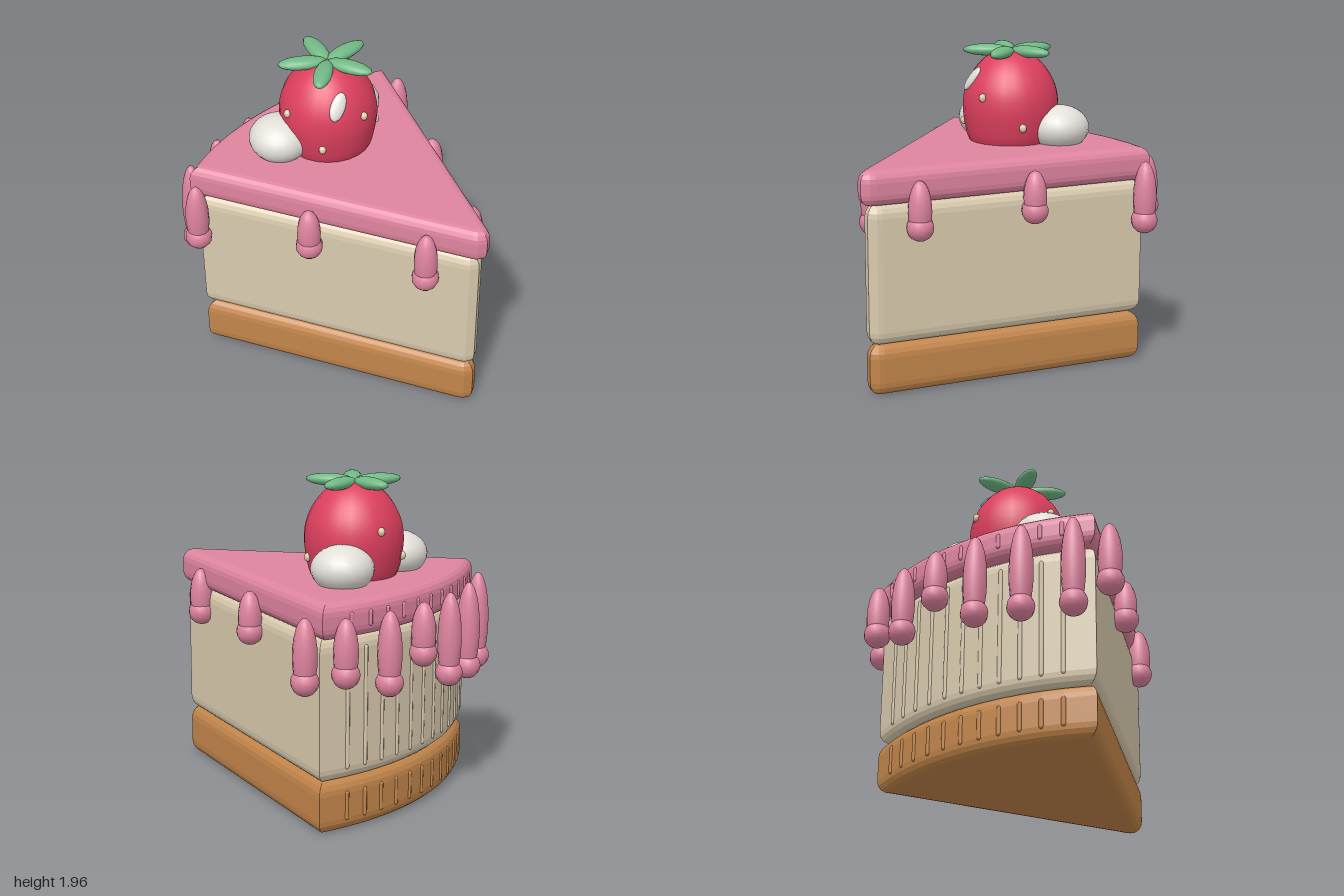
import * as THREE from 'three';

const mat = (name, color) => {
  const m = new THREE.MeshStandardMaterial({ color });
  m.name = name;
  return m;
};

export function createModel() {
  const root = new THREE.Group();
  root.name = 'cakeSlice';
  const pink = mat('pinkFrosting', 0xdf849f);
  const sponge = mat('creamSponge', 0xd9caae);
  const crust = mat('brownCrust', 0xc2854a);
  const red = mat('berryRed', 0xdd3f5e);
  const green = mat('leafGreen', 0x72b986);
  const white = mat('whippedWhite', 0xe3dfd9);
  const seedColor = mat('seedCream', 0xe0cda8);

  const add = (name, geo, material, parent = root) => {
    const m = new THREE.Mesh(geo, material);
    m.name = name;
    parent.add(m);
    return m;
  };
  const ellipsoid = (rx, ry, rz, ws = 20, hs = 14) =>
    new THREE.SphereGeometry(1, ws, hs).scale(rx, ry, rz);

  // Bevelled wedge with a slightly blunt tip, a curved back and thin upright ribs
  const bevel = 0.06, segments = 12;
  function wedge(name, y0, y1, apex, radius, half, thick, material) {
    const g = new THREE.Group();
    g.name = name;
    root.add(g);
    const s = Math.sin(half) * 0.04, c = Math.cos(half) * 0.04;
    const shape = new THREE.Shape();
    shape.moveTo(s, -apex + c);
    for (let i = 0; i <= segments; i++) {
      const a = half - (2 * half * i) / segments;
      shape.lineTo(Math.sin(a) * radius, -apex + Math.cos(a) * radius);
    }
    shape.lineTo(-s, -apex + c);
    shape.quadraticCurveTo(0, -apex, s, -apex + c);
    const geo = new THREE.ExtrudeGeometry(shape, {
      depth: y1 - y0 - 2 * thick, bevelEnabled: true, bevelThickness: thick,
      bevelSize: bevel, bevelSegments: 4, curveSegments: 4,
    });
    geo.rotateX(-Math.PI / 2).translate(0, y0 + thick, 0);
    add(name + 'Body', geo, material, g);

    const length = y1 - y0 - 2 * thick;
    for (let i = 1; i < segments; i++) {
      const a = half - (2 * half * i) / segments, r = radius + bevel - 0.004;
      const rib = add(name + 'Rib', new THREE.CapsuleGeometry(0.014, length, 3, 8), material, g);
      rib.position.set(Math.sin(a) * r, (y0 + y1) / 2, apex - Math.cos(a) * r);
    }
  }
  wedge('crust', 0, 0.31, 0.9, 1.67, 0.445, 0.08, crust);
  wedge('sponge', 0.31, 1.16, 0.9, 1.67, 0.445, 0.08, sponge);
  wedge('frosting', 1.155, 1.365, 0.95, 1.76, 0.437, 0.07, pink);

  // Frosting drips: x, z, lowest point
  const drips = [
    [-0.2, 0.71, 0.905], [0.19, 0.71, 0.935],
    [-0.53, 0.065, 0.955], [0.52, 0.065, 0.97],
    [-0.86, -0.58, 0.845], [0.86, -0.58, 0.845],
    [-0.74, -0.77, 0.675], [-0.45, -0.87, 0.69], [-0.15, -0.915, 0.72],
    [0.15, -0.915, 0.91], [0.44, -0.87, 0.79], [0.735, -0.77, 0.89],
  ];
  for (const [x, z, low] of drips) {
    const g = new THREE.Group();
    g.name = 'drip';
    root.add(g);
    const top = 1.295, mid = (top + low) / 2;
    add('dripBody', ellipsoid(0.072, top - mid, 0.072, 12, 12), pink, g).position.set(x, mid, z);
    add('dripBall', ellipsoid(0.082, 0.082, 0.082, 12, 10), pink, g).position.set(x, low + 0.082, z);
  }

  // Whipped cream dollops
  for (const side of [-1, 1])
    add('creamDollop', ellipsoid(0.185, 0.14, 0.19), white).position.set(side * 0.295, 1.455, -0.445);

  // Strawberry with seeds, highlight and leaves
  const berry = new THREE.Group();
  berry.name = 'strawberry';
  berry.position.z = -0.325;
  root.add(berry);
  const profile = new THREE.SplineCurve([
    [0, 1.3], [0.2, 1.31], [0.262, 1.37], [0.288, 1.47], [0.3, 1.58], [0.285, 1.69],
    [0.238, 1.79], [0.17, 1.87], [0.09, 1.92], [0, 1.935],
  ].map(([x, y]) => new THREE.Vector2(x, y))).getPoints(28);
  profile.forEach((p) => { p.x = Math.max(p.x, 0); });
  add('berryBody', new THREE.LatheGeometry(profile, 24), red, berry);

  const seeds = [
    [4, 1.66], [157, 1.66], [261, 1.66], [55, 1.48], [207, 1.48], [310, 1.48],
  ];
  for (const [deg, y] of seeds) {
    const a = THREE.MathUtils.degToRad(deg);
    add('seed', ellipsoid(0.023, 0.027, 0.023, 10, 8), seedColor, berry)
      .position.set(Math.sin(a) * 0.292, y, Math.cos(a) * 0.292);
  }

  const shine = add('highlight', ellipsoid(0.045, 0.09, 0.02, 16, 10), white, berry);
  shine.position.set(-0.125, 1.758, 0.222);
  shine.rotation.set(-0.5, -0.51, -0.45, 'YXZ');

  for (let i = 0; i < 5; i++) {
    const pivot = new THREE.Group();
    pivot.name = 'leaf';
    pivot.position.y = 1.925;
    pivot.rotation.y = (i * 2 * Math.PI) / 5 + 0.02;
    berry.add(pivot);
    add('leafBlade', ellipsoid(0.15, 0.037, 0.056, 14, 10), green, pivot).position.x = 0.15;
  }
  return root;
}
